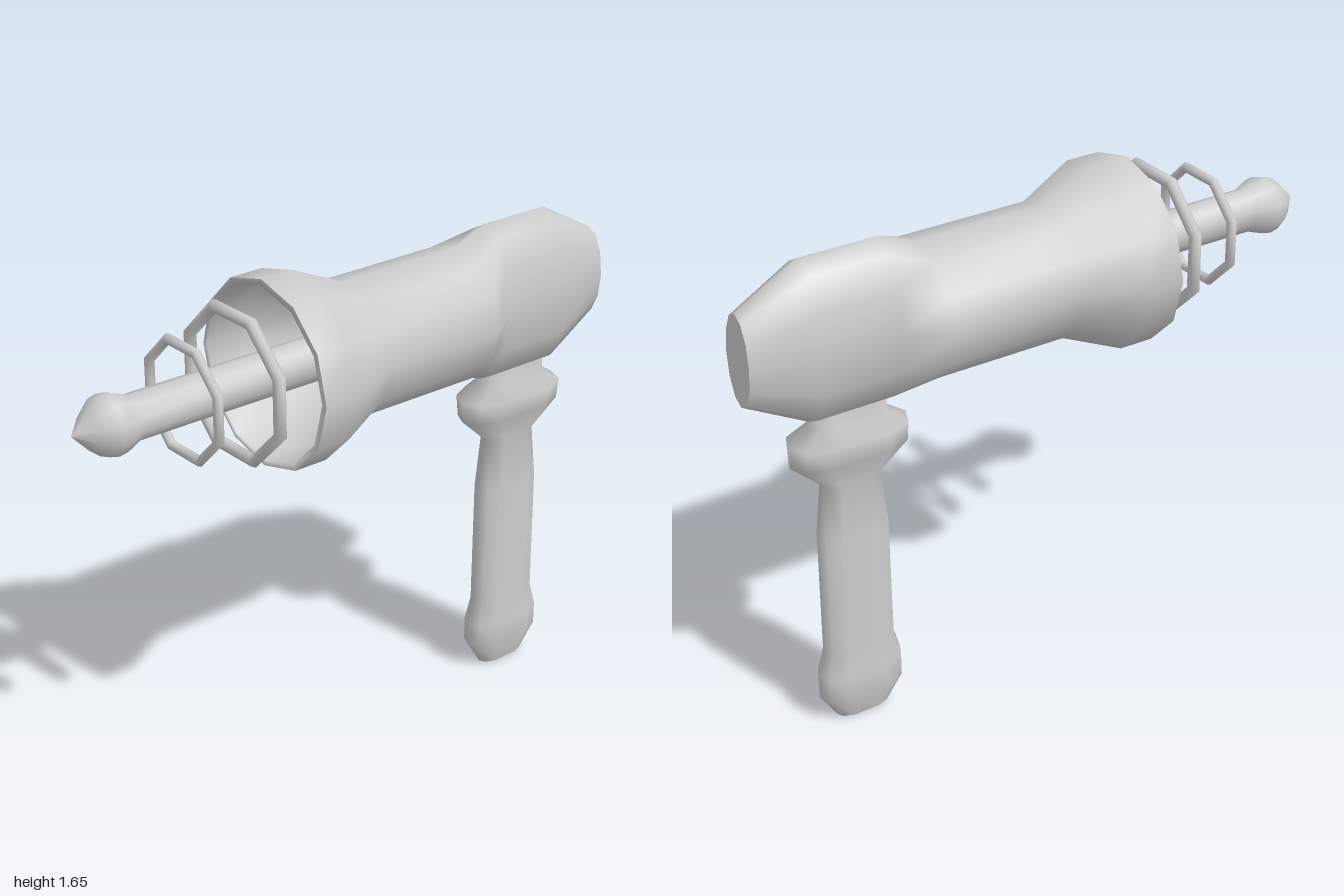
import * as THREE from 'three';

const material = new THREE.MeshStandardMaterial({ color: 0xcccccc, side: THREE.DoubleSide });
const AXIS_Y = 1.35;

// Unit outlines, given as [y, z] going from +y towards +z
const circle = (n) => Array.from({ length: n }, (_, i) => {
  const a = (i / n) * Math.PI * 2;
  return [Math.cos(a), Math.sin(a)];
});
const gripOutline = [[1, 0], [0.88, 0.62], [0.5, 1], [-0.5, 1], [-0.88, 0.62],
  [-1, 0], [-0.88, -0.62], [-0.5, -1], [0.5, -1], [0.88, -0.62]];

// Smooth skin along x through sections [x, half height, half depth]; caps keep a crisp edge
function loft(name, outline, sections, capStart, capEnd) {
  const n = outline.length;
  const positions = [];
  const index = [];
  const addRing = ([x, ry, rz = ry]) => {
    const start = positions.length / 3;
    outline.forEach(([y, z]) => positions.push(x, y * ry, z * rz));
    return start;
  };
  sections.forEach(addRing);
  for (let s = 0; s < sections.length - 1; s++) {
    for (let i = 0; i < n; i++) {
      const a = s * n + i;
      const b = s * n + (i + 1) % n;
      index.push(a, b, a + n, b, b + n, a + n);
    }
  }
  const addCap = (section, flip) => {
    const start = addRing(section);
    for (let i = 1; i < n - 1; i++) {
      if (flip) index.push(start, start + i + 1, start + i);
      else index.push(start, start + i, start + i + 1);
    }
  };
  if (capStart) addCap(sections[0], true);
  if (capEnd) addCap(sections[sections.length - 1], false);
  const geometry = new THREE.BufferGeometry();
  geometry.setAttribute('position', new THREE.Float32BufferAttribute(positions, 3));
  geometry.setIndex(index);
  geometry.computeVertexNormals();
  const mesh = new THREE.Mesh(geometry, material);
  mesh.name = name;
  return mesh;
}

export function createModel() {
  const model = new THREE.Group();
  model.name = 'rayPistol';

  const barrel = new THREE.Group();
  barrel.name = 'barrelAssembly';
  barrel.position.y = AXIS_Y;
  model.add(barrel);

  // Flared body narrowing to a tall, thin rear
  barrel.add(loft('body', circle(12), [
    [-0.335, 0.3], [-0.22, 0.3], [-0.03, 0.215], [0.41, 0.215],
    [0.54, 0.265, 0.125], [0.79, 0.265, 0.125], [1, 0.15, 0.07],
  ], false, true));

  // Hollow inside the flared muzzle, ending at the rim
  barrel.add(loft('muzzleBore', circle(12), [
    [-0.03, 0.19], [-0.21, 0.275], [-0.335, 0.28], [-0.335, 0.3],
  ], true, false));

  // Central rod with a bulbed, pointed tip
  barrel.add(loft('emitterRod', circle(10), [
    [-1, 0.001], [-0.945, 0.06], [-0.91, 0.088], [-0.88, 0.095],
    [-0.85, 0.09], [-0.8, 0.07], [-0.02, 0.07],
  ], false, true));

  // Free-floating octagonal rings around the rod
  for (const [x, outer, tube] of [[-0.62, 0.185, 0.016], [-0.44, 0.237, 0.02]]) {
    const radius = (outer - tube) / Math.cos(Math.PI / 8);
    const ring = new THREE.Mesh(new THREE.TorusGeometry(radius, tube, 8, 8), material);
    ring.name = 'emitterRing';
    ring.rotation.set(Math.PI / 8, Math.PI / 2, 0, 'XYZ');
    ring.geometry.rotateZ(Math.PI / 8);
    ring.rotation.set(0, Math.PI / 2, 0);
    ring.position.x = x;
    barrel.add(ring);
  }

  // Flat grip with a swollen foot and a guard collar, lofted along x then stood upright
  const grip = loft('grip', gripOutline, [
    [0, 0.09, 0.035], [0.09, 0.147, 0.06], [0.17, 0.147, 0.06], [0.25, 0.125, 0.05],
    [0.68, 0.122, 0.05], [0.86, 0.1, 0.046], [0.95, 0.198, 0.08], [1.02, 0.198, 0.095],
    [1.065, 0.13, 0.06], [1.2, 0.13, 0.06],
  ], true, true);
  grip.rotation.z = Math.PI / 2;
  grip.position.x = 0.665;
  model.add(grip);

  return model;
}
